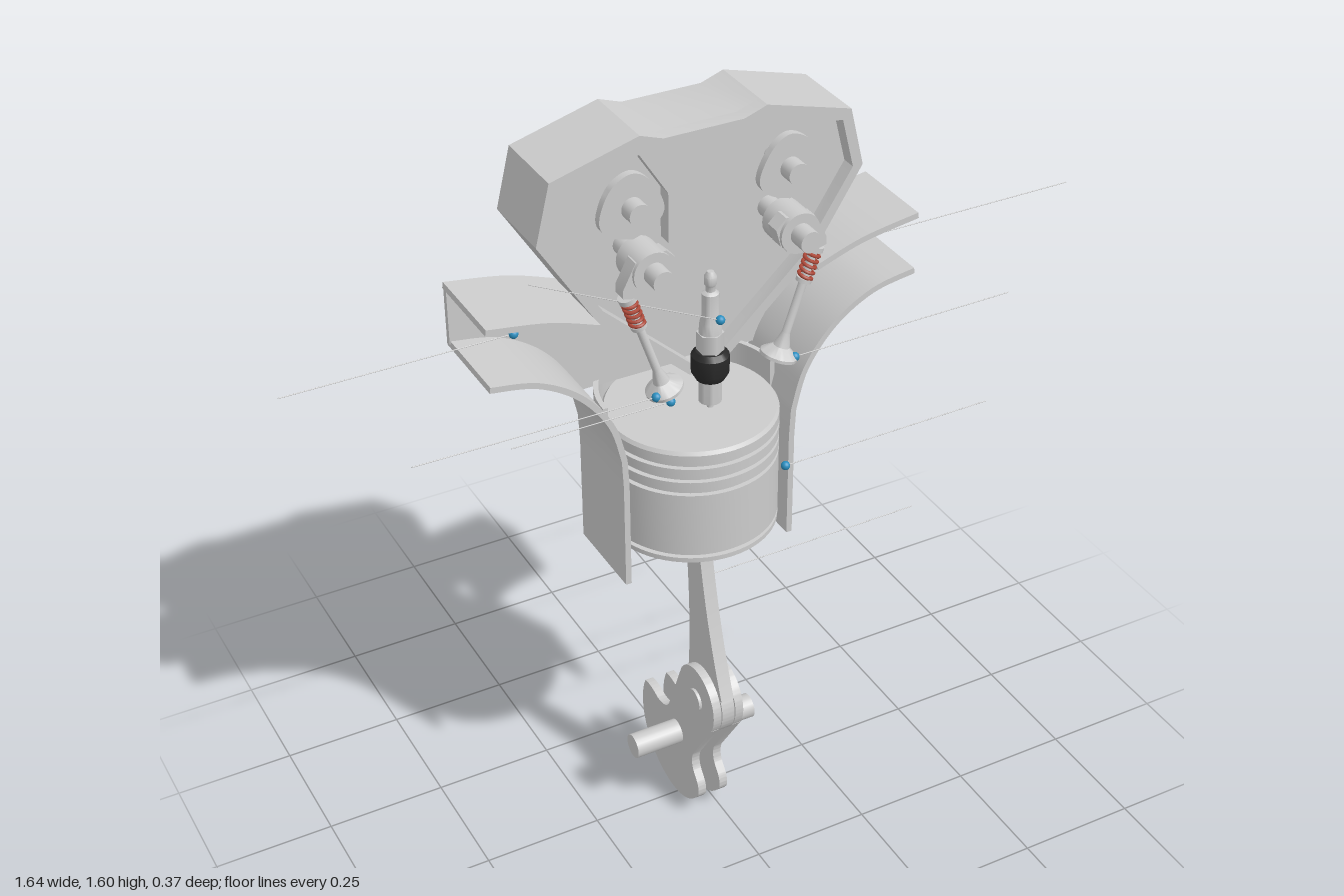
import * as THREE from 'three';
import { toCreasedNormals } from 'three/addons/utils/BufferGeometryUtils.js';

const V2 = (x, y) => new THREE.Vector2(x, y);
const pts = (list) => list.map(([x, y]) => V2(x, y));
const grey = new THREE.MeshStandardMaterial({ color: 0xcccccc, side: THREE.DoubleSide });
const paint = (color) => new THREE.MeshStandardMaterial({ color });
const red = paint(0xb04a3a), blue = paint(0x2a8fc0), black = paint(0x2a2a2a);

export function createModel() {
  const model = new THREE.Group();
  const engine = new THREE.Group();
  engine.name = 'engine';
  engine.position.x = -0.024;
  model.add(engine);

  const add = (name, geo, mat = grey, parent = engine) => {
    const mesh = new THREE.Mesh(geo, mat);
    mesh.name = name;
    parent.add(mesh);
    return mesh;
  };
  // plate in the front plane, from z0 to z1
  const plate = (shape, z0, z1) => toCreasedNormals(new THREE.ExtrudeGeometry(shape,
    { depth: z1 - z0, bevelEnabled: false, curveSegments: 24 }).translate(0, 0, z0), 0.5);
  // plate in the side plane (shape x = -z), from x0 to x1
  const sidePlate = (shape, x0, x1) => plate(shape, x0, x1).rotateY(Math.PI / 2);
  const rodZ = (r, z0, z1, x, y) => new THREE.CylinderGeometry(r, r, z1 - z0, 24)
    .rotateX(Math.PI / 2).translate(x, y, (z0 + z1) / 2);
  const rodX = (r, x0, x1, y, z) => new THREE.CylinderGeometry(r, r, x1 - x0, 24)
    .rotateZ(Math.PI / 2).translate((x0 + x1) / 2, y, z);
  const lathe = (profile, seg = 48) => toCreasedNormals(new THREE.LatheGeometry(pts(profile), seg), 0.6);
  const between = (a, b, r) => {
    const d = b.clone().sub(a);
    return new THREE.CylinderGeometry(r, r, d.length(), 8)
      .applyQuaternion(new THREE.Quaternion().setFromUnitVectors(new THREE.Vector3(0, 1, 0), d.normalize()))
      .translate((a.x + b.x) / 2, (a.y + b.y) / 2, (a.z + b.z) / 2);
  };
  // closed strip of constant thickness along a line of points
  const strip = (line, t) => {
    const inner = line.map((p, i) => {
      const d = line[Math.min(i + 1, line.length - 1)].clone().sub(line[Math.max(i - 1, 0)]).normalize();
      return V2(p.x + d.y * t, p.y - d.x * t);
    });
    return [...line, ...inner.reverse()];
  };
  const flip = (line, s) => line.map((p) => V2(p.x * s, p.y));
  const symmetric = (half) => new THREE.Shape([...half, ...flip(half, -1).reverse()]);

  // Cylinder head: block with a shallow rimmed pocket around the plug boss
  const headHalf = pts([[0.08, 1.588], [0.126, 1.604], [0.3, 1.556], [0.329, 1.438], [0.222, 1.267], [0.03, 1.09]]);
  const pocketHalf = pts([[0.072, 1.38], [0.072, 1.48], [0.128, 1.568], [0.283, 1.537], [0.308, 1.438], [0.205, 1.278], [0.025, 1.112]]);
  const rim = symmetric(headHalf);
  rim.holes.push(symmetric(pocketHalf));
  add('headBlock', plate(symmetric(headHalf), -0.107, 0.025));
  add('headRim', plate(rim, 0.025, 0.055));

  // Port channels, flowing down into the flat side walls
  const lower = new THREE.SplineCurve(pts([[0.441, 1.19], [0.35, 1.172], [0.27, 1.122], [0.212, 1.045], [0.187, 0.96]])).getPoints(28);
  const upper = new THREE.SplineCurve(pts([[0.222, 1.267], [0.32, 1.3], [0.441, 1.32]])).getPoints(14);
  const wall = [...lower, V2(0.184, 0.9), V2(0.184, 0.672)];
  for (const s of [1, -1]) {
    const side = s > 0 ? 'left' : 'right';
    add(side + 'PortFloorAndWall', plate(new THREE.Shape(flip(strip(wall, 0.012), s)), -0.107, 0.08));
    add(side + 'PortRoof', plate(new THREE.Shape(flip(strip(upper, 0.012), s)), -0.107, 0.08));
  }
  add('backPlate', plate(symmetric([...upper, ...lower.filter((p) => p.y > 1.01)]), -0.107, -0.095));

  // Half barrel behind the piston, with its closed top behind the back plate
  const barrel = new THREE.Shape();
  barrel.absarc(0, 0, 0.184, 0, Math.PI, false);
  barrel.absarc(0, 0, 0.174, Math.PI, 0, true);
  add('barrel', plate(barrel, 0, 0.358).rotateX(-Math.PI / 2).translate(0, 0.672, 0));
  const cap = new THREE.Shape();
  const capAngle = Math.asin(0.1 / 0.184);
  cap.absarc(0, 0, 0.184, capAngle, Math.PI - capAngle, false);
  add('barrelTop', plate(cap, 0, 0.012).rotateX(-Math.PI / 2).translate(0, 1.018, 0));

  // Piston with ring grooves, hollow underneath
  const profile = [[0.001, 0.93], [0.1, 0.93], [0.14, 0.9], [0.14, 0.735], [0.17, 0.735], [0.17, 0.745]];
  for (const y of [0.745, 0.89, 0.92, 0.95]) {
    profile.push([0.17, y], [0.16, y], [0.16, y + 0.009], [0.17, y + 0.009]);
  }
  profile.push([0.17, 0.98], [0.165, 0.987], [0, 0.987]);
  add('piston', lathe(profile, 64));
  add('wristPin', rodX(0.028, -0.15, 0.15, 0.82, 0));

  // Connecting rod
  const rod = new THREE.Shape();
  rod.moveTo(-0.04, 0.82);
  rod.quadraticCurveTo(-0.07, 0.56, -0.155, 0.36);
  rod.absarc(-0.085, 0.325, 0.074, 2.65, Math.PI * 2, false);
  rod.quadraticCurveTo(-0.035, 0.5, 0.012, 0.82);
  rod.absarc(-0.014, 0.82, 0.026, 0, Math.PI, false);
  add('connectingRod', sidePlate(rod, -0.014, 0.014));

  // Crank webs with counterweight, pin and shaft stubs
  const web = new THREE.Shape();
  web.moveTo(-0.148, 0.285);
  web.lineTo(-0.07, 0.165);
  web.quadraticCurveTo(-0.058, 0.135, -0.078, 0.112);
  web.quadraticCurveTo(-0.1, 0.09, -0.093, 0.066);
  web.quadraticCurveTo(-0.05, 0.004, 0.017, 0.004);
  web.absarc(0.017, 0.145, 0.141, -Math.PI / 2, 0.45, false);
  web.quadraticCurveTo(0.12, 0.212, 0.09, 0.2);
  web.quadraticCurveTo(0.05, 0.195, 0.035, 0.225);
  web.lineTo(-0.022, 0.365);
  web.absarc(-0.085, 0.325, 0.074, 0.55, 3.7, false);
  for (const s of [1, -1]) {
    add('crankWeb', sidePlate(web, s > 0 ? 0.016 : -0.034, s > 0 ? 0.034 : -0.016));
    add('crankShaft', rodX(0.026, s > 0 ? 0.016 : -0.138, s > 0 ? 0.138 : -0.016, 0.175, 0));
  }
  add('crankPin', rodX(0.024, -0.04, 0.04, 0.325, 0.085));

  // Valve gear, mirrored for each bank
  for (const s of [1, -1]) {
    const gear = new THREE.Group();
    gear.name = s > 0 ? 'exhaustValveGear' : 'intakeValveGear';
    engine.add(gear);
    const lobe = new THREE.SplineCurve(pts([[0.158, 1.425], [0.205, 1.442], [0.222, 1.475], [0.2, 1.53],
      [0.158, 1.553], [0.12, 1.53], [0.095, 1.475], [0.115, 1.442], [0.158, 1.425]])).getPoints(40).slice(0, -1);
    add('cam', plate(new THREE.Shape(flip(lobe, s)), 0.07, 0.085), grey, gear);
    add('camShaft', rodZ(0.021, 0.025, 0.117, s * 0.158, 1.487), grey, gear);
    add('rockerShaft', rodZ(0.021, 0.025, 0.182, s * 0.147, 1.385), grey, gear);
    add('rockerHub', rodZ(0.04, 0.075, 0.145, s * 0.147, 1.385), grey, gear);
    const arm = pts([[0.12, 1.42], [0.1, 1.4], [0.11, 1.365], [0.15, 1.345], [0.18, 1.338], [0.205, 1.345], [0.205, 1.362], [0.18, 1.41]]);
    add('rockerArm', plate(new THREE.Shape(flip(arm, s)), 0.108, 0.138), grey, gear);

    // Valve is built upright, then leaned outward
    const valve = new THREE.Group();
    valve.name = 'valve';
    valve.position.set(s * 0.118, 1.125, 0.123);
    valve.rotation.z = -s * 0.33;
    gear.add(valve);
    add('valveStem', lathe([[0, 0], [0.036, 0], [0.036, 0.006], [0.016, 0.022], [0.008, 0.05], [0.008, 0.232], [0, 0.232]], 32), grey, valve);
    add('springRetainer', new THREE.CylinderGeometry(0.017, 0.017, 0.01, 24).translate(0, 0.222, 0), grey, valve);
    add('springSeat', new THREE.CylinderGeometry(0.015, 0.015, 0.008, 24).translate(0, 0.158, 0), grey, valve);
    const coil = Array.from({ length: 61 }, (_, i) => {
      const a = (i / 60) * Math.PI * 10;
      return new THREE.Vector3(Math.cos(a) * 0.013, 0.162 + i / 60 * 0.056, Math.sin(a) * 0.013);
    });
    add('valveSpring', new THREE.TubeGeometry(new THREE.CatmullRomCurve3(coil), 120, 0.0035, 6), red, valve);
  }

  // Spark plug
  const plug = new THREE.Group();
  plug.name = 'sparkPlug';
  plug.position.z = 0.078;
  engine.add(plug);
  add('plugThread', lathe([[0, 1.025], [0.006, 1.025], [0.006, 1.04], [0.022, 1.04], [0.022, 1.095], [0, 1.095]], 24), grey, plug);
  add('plugCollar', lathe([[0, 1.09], [0.028, 1.09], [0.036, 1.105], [0.036, 1.14], [0.028, 1.15], [0, 1.15]], 24), black, plug);
  add('plugHex', new THREE.CylinderGeometry(0.026, 0.026, 0.04, 6).translate(0, 1.168, 0), grey, plug);
  add('plugInsulator', lathe([[0.022, 1.185], [0.02, 1.21], [0.016, 1.225], [0.016, 1.27], [0.009, 1.275],
    [0.009, 1.285], [0.012, 1.29], [0.012, 1.305], [0.006, 1.315], [0, 1.315]], 24), grey, plug);

  // Marker dots with thin leader lines: dot x, y, z and line end x, y, z
  const leaders = [
    [-0.38, 1.245, 0, -0.82, 1.245, 0], [0.335, 1.245, 0, 0.82, 1.245, 0],
    [-0.168, 1.125, 0.14, -0.64, 1.125, 0.135], [0.12, 1.125, 0.14, 0.6, 1.125, 0.135],
    [-0.018, 1.225, 0.105, -0.39, 1.4, 0.1], [-0.108, 1.062, 0.08, -0.43, 1.062, 0.08],
    [0.115, 0.872, 0.125, 0.58, 0.872, 0.12], [0.0, 0.59, 0.035, 0.48, 0.59, 0.03],
  ];
  for (const [x, y, z, ex, ey, ez] of leaders) {
    const a = new THREE.Vector3(x, y, z);
    add('markerDot', new THREE.SphereGeometry(0.009, 16, 10).translate(x, y, z), blue, model);
    add('leaderLine', between(a, new THREE.Vector3(ex, ey, ez), 0.001), grey, model);
  }
  return model;
}
